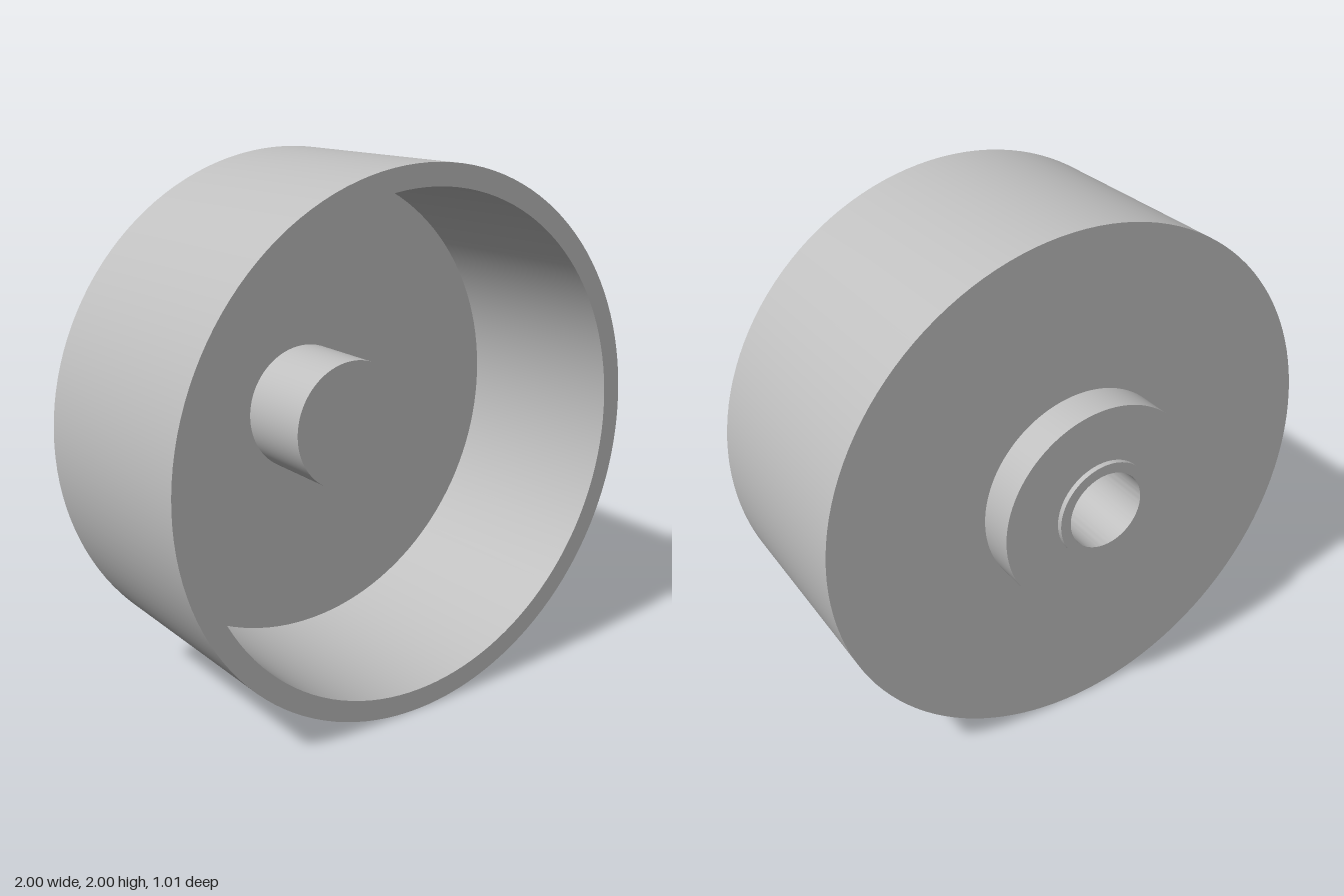
import * as THREE from 'three';
import { toCreasedNormals } from 'three/addons/utils/BufferGeometryUtils.js';

const SEGMENTS = 128;

// Depth stations along z
const RIM = 0.505, HUB_END = 0.095, BORE_END = 0.0, FLOOR = -0.225;
const BACK = -0.345, BOSS_END = -0.485, LIP_END = -0.505;

export function createModel() {
  const group = new THREE.Group();
  group.name = 'wheel';
  const grey = new THREE.MeshStandardMaterial({ color: 0xbfbfbf });
  grey.name = 'plain grey';

  // Revolves a [radius, z] profile about the wheel's axle
  const turn = (name, profile) => {
    const points = profile.map(([r, z]) => new THREE.Vector2(r, z));
    const lathe = new THREE.LatheGeometry(points, SEGMENTS).rotateX(Math.PI / 2);
    const mesh = new THREE.Mesh(toCreasedNormals(lathe, 0.5), grey);
    mesh.name = name;
    mesh.position.y = 1;
    group.add(mesh);
  };

  // Hollow drum, open at the front
  turn('drum', [[0.4, BACK], [1, BACK], [1, RIM], [0.92, RIM], [0.92, FLOOR], [0.25, FLOOR]]);
  // Solid hub standing on the drum floor
  turn('hub', [[0.25, FLOOR], [0.25, HUB_END], [0, HUB_END]]);
  // Stepped boss on the back
  turn('boss', [[0.19, BOSS_END], [0.4, BOSS_END], [0.4, BACK]]);
  turn('bossLip', [[0.15, LIP_END], [0.19, LIP_END], [0.19, BOSS_END]]);
  // Blind axle hole
  turn('axleBore', [[0, BORE_END], [0.15, BORE_END], [0.15, LIP_END]]);

  return group;
}
